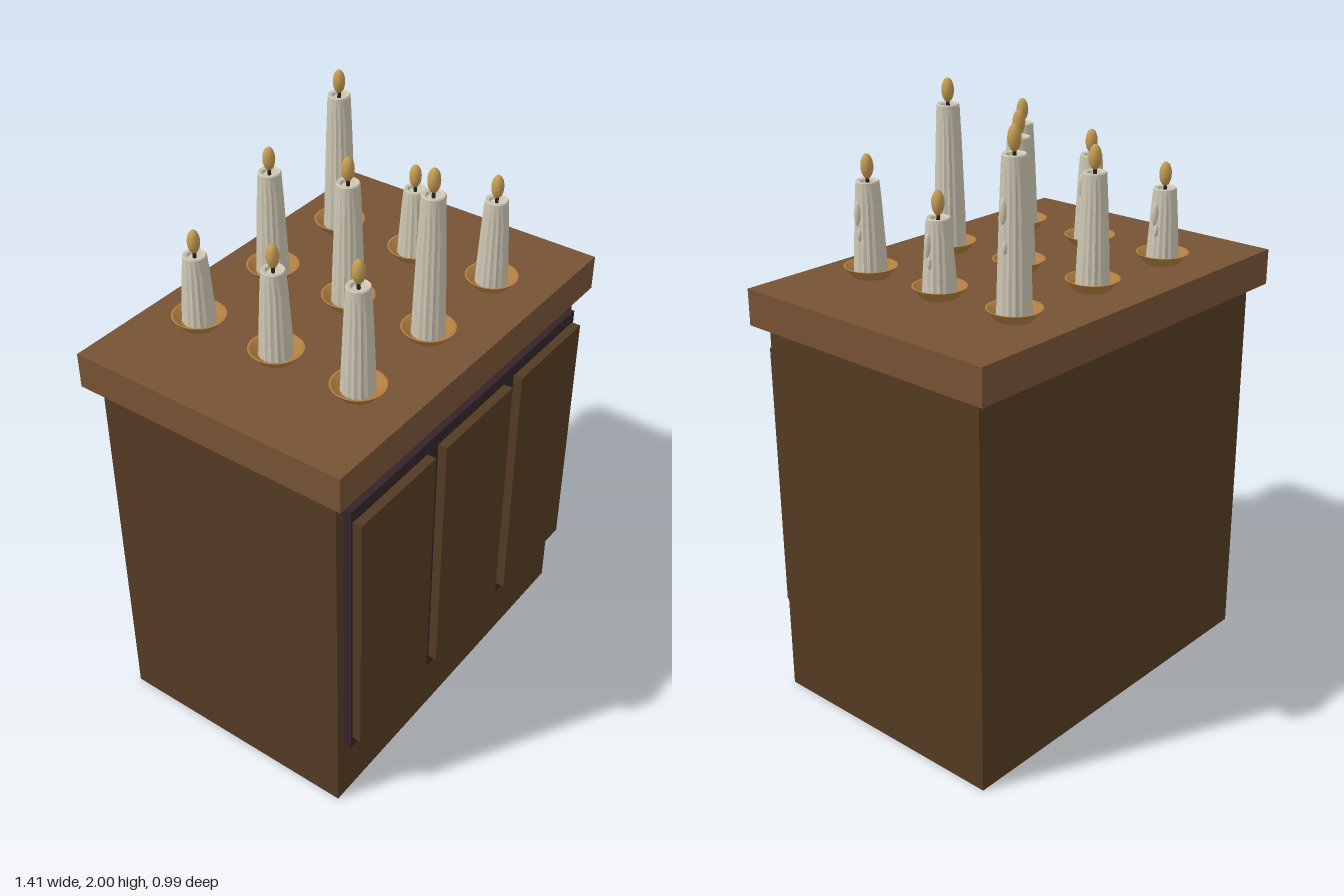
import * as THREE from 'three';

const material = (name, color, side = THREE.FrontSide) => {
  const m = new THREE.MeshStandardMaterial({ color, side });
  m.name = name;
  return m;
};

export function createModel() {
  const model = new THREE.Group();
  model.name = 'candleCabinet';

  const bodyWood = material('dark brown wood', 0x543b23);
  const topWood = material('mid brown wood', 0x775335);
  const frameWood = material('plum brown trim', 0x35242a);
  const brass = material('brass', 0xb07d40);
  const wax = material('wax', 0xcdc6b3);
  const wickBlack = material('wick', 0x2a2320);
  const flameGold = material('flame gold', 0xc49c52);

  const add = (parent, name, geometry, mat, x = 0, y = 0, z = 0) => {
    const mesh = new THREE.Mesh(geometry, mat);
    mesh.name = name;
    mesh.position.set(x, y, z);
    parent.add(mesh);
    return mesh;
  };
  // Box given by its limits on each axis
  const box = (name, mat, [x0, x1], [y0, y1], [z0, z1]) =>
    add(model, name, new THREE.BoxGeometry(x1 - x0, y1 - y0, z1 - z0), mat,
      (x0 + x1) / 2, (y0 + y1) / 2, (z0 + z1) / 2);
  const profile = (points) => points.map(([r, y]) => new THREE.Vector2(r, y));

  // Cabinet
  box('body', bodyWood, [-0.663, 0.663], [0, 1.312], [-0.447, 0.438]);
  box('tabletop', topWood, [-0.703, 0.703], [1.312, 1.432], [-0.497, 0.483]);
  box('frontFrame', frameWood, [-0.63, 0.63], [0.247, 1.252], [0.43, 0.466]);
  for (const x of [-0.434, 0, 0.434]) {
    box('frontPanel', bodyWood, [x - 0.188, x + 0.188], [0.29, 1.21], [0.46, 0.497]);
  }

  // Shallow flared dish
  const dishGeometry = new THREE.LatheGeometry(profile([
    [0, 0], [0.058, 0], [0.086, 0.034], [0.08, 0.034], [0.056, 0.014], [0, 0.014],
  ]), 32).toNonIndexed();
  dishGeometry.computeVertexNormals();

  // Tapering candle with fluted sides and a hollow around the wick
  const candleGeometry = (h) => {
    const g = new THREE.LatheGeometry(profile([
      [0.052, 0], [0.049, h * 0.25], [0.045, h * 0.5], [0.041, h * 0.75],
      [0.037, h - 0.004], [0.034, h], [0.024, h - 0.003], [0.02, h - 0.012], [0, h - 0.012],
    ]), 32);
    const p = g.attributes.position;
    for (let i = 0; i < p.count; i++) {
      const angle = Math.atan2(p.getX(i), p.getZ(i));
      const k = p.getY(i) < h - 0.02 ? 1 + 0.03 * Math.cos(angle * 16) : 1;
      p.setX(i, p.getX(i) * k);
      p.setZ(i, p.getZ(i) * k);
    }
    const flat = g.toNonIndexed();
    flat.computeVertexNormals();
    return flat;
  };

  // Candle tops by row (back to front) and column (-x to +x)
  const tops = [
    [1.68, 1.80, 1.92],
    [1.74, 1.86, 1.68],
    [1.80, 1.92, 1.74],
  ];
  const base = 1.432;
  tops.forEach((row, r) => row.forEach((top, c) => {
    const candle = new THREE.Group();
    candle.name = 'candle';
    candle.position.set((c - 1) * 0.361, base, (r - 1) * 0.302 - 0.008);
    model.add(candle);
    const h = top - base;
    add(candle, 'dish', dishGeometry, brass);
    add(candle, 'candleBody', candleGeometry(h - 0.012), wax, 0, 0.012);
    add(candle, 'wick', new THREE.CylinderGeometry(0.005, 0.006, 0.04, 8), wickBlack, 0, h + 0.006);
    add(candle, 'flame', new THREE.SphereGeometry(0.02, 16, 12), flameGold, 0, h + 0.043)
      .scale.set(1, 1.95, 1);
    // Run of wax down the +x side
    if (c !== 1) {
      add(candle, 'waxDrip', new THREE.SphereGeometry(0.012, 12, 10), wax, 0.041, h * 0.67, 0.005)
        .scale.set(1, 3.3, 1);
      add(candle, 'waxDrip', new THREE.SphereGeometry(0.008, 12, 10), wax, 0.045, h * 0.46, -0.004)
        .scale.set(1, 2.5, 1);
    }
  }));

  return model;
}
